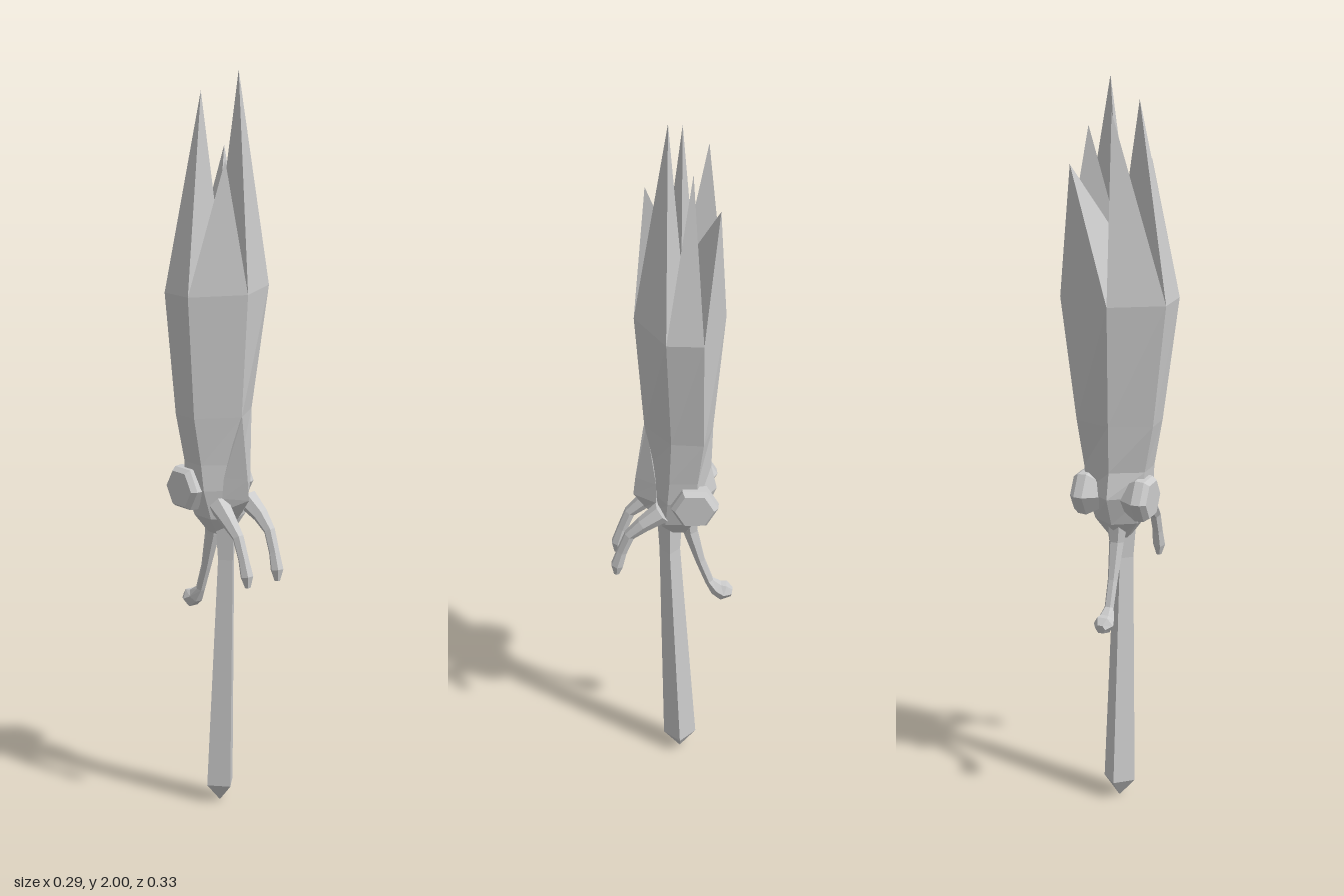
import * as THREE from 'three';

const material = new THREE.MeshStandardMaterial({ color: 0xcccccc, flatShading: true, side: THREE.DoubleSide });

function meshFrom(name, triangles) {
  const geometry = new THREE.BufferGeometry();
  geometry.setAttribute('position', new THREE.Float32BufferAttribute(triangles.flat(2), 3));
  geometry.computeVertexNormals();
  const mesh = new THREE.Mesh(geometry, material);
  mesh.name = name;
  return mesh;
}

// Skin a list of rings, ordered start to end, each running counter-clockwise about the path
function loft(rings, capStart = true, capEnd = true) {
  const triangles = [], n = rings[0].length;
  const centre = ring => [0, 1, 2].map(k => ring.reduce((s, p) => s + p[k], 0) / n);
  for (let i = 0; i < n; i++) {
    const j = (i + 1) % n;
    for (let r = 0; r + 1 < rings.length; r++) {
      const a = rings[r], b = rings[r + 1];
      triangles.push([a[i], a[j], b[j]], [a[i], b[j], b[i]]);
    }
    const first = rings[0], last = rings[rings.length - 1];
    if (capStart) triangles.push([first[j], first[i], centre(first)]);
    if (capEnd) triangles.push([last[i], last[j], centre(last)]);
  }
  return triangles;
}

// Tapered limb through [x, y, z, radius] stations
function limb(name, stations, sides) {
  const p = stations.map(s => new THREE.Vector3(s[0], s[1], s[2]));
  const xAxis = new THREE.Vector3(1, 0, 0);
  const rings = stations.map((s, i) => {
    const t = p[Math.min(i + 1, p.length - 1)].clone().sub(p[Math.max(i - 1, 0)]).normalize();
    const v = t.clone().cross(xAxis).normalize(), u = v.clone().cross(t);
    return Array.from({ length: sides }, (_, k) => {
      const a = k / sides * Math.PI * 2;
      return p[i].clone().addScaledVector(u, Math.cos(a) * s[3])
        .addScaledVector(v, Math.sin(a) * s[3]).toArray();
    });
  });
  return meshFrom(name, loft(rings));
}

const level = (y, xz) => xz.map(([x, z]) => [x, y, z]);

export function createModel() {
  const model = new THREE.Group();

  // Six-sided bud, from the pinched base up to the rim
  const rim = level(1.43, [[-0.145, -0.065], [-0.145, 0.032], [0, 0.1], [0.14, 0.018], [0.145, -0.078], [-0.01, -0.138]]);
  model.add(meshFrom('body', loft([
    level(0.77, [[-0.025, -0.035], [-0.025, 0.005], [0, 0.03], [0.025, 0.005], [0.025, -0.035], [0, -0.045]]),
    level(0.82, [[-0.06, -0.05], [-0.06, 0.02], [0, 0.055], [0.06, 0.02], [0.06, -0.05], [0, -0.085]]),
    level(0.9, [[-0.08, -0.065], [-0.08, 0.015], [0, 0.07], [0.08, 0.015], [0.08, -0.065], [0, -0.118]]),
    level(0.97, [[-0.085, -0.06], [-0.085, 0.01], [0, 0.068], [0.085, 0.01], [0.085, -0.065], [0, -0.103]]),
    level(1.1, [[-0.11, -0.065], [-0.108, 0.01], [0, 0.075], [0.092, 0.005], [0.1, -0.08], [0, -0.107]]),
    rim,
  ], true, false)));

  // One pointed petal per rim edge, with inner faces meeting at a hollow centre
  const hollow = [0, 1.58, -0.022];
  const tips = [[-0.055, 1.95, -0.025], [-0.052, 1.78, 0.07], [0.04, 2, 0.012],
    [0.075, 1.88, -0.05], [0.098, 1.79, -0.118], [-0.005, 1.925, -0.09]];
  const petals = new THREE.Group();
  petals.name = 'petals';
  tips.forEach((tip, i) => {
    const a = rim[i], b = rim[(i + 1) % 6];
    petals.add(meshFrom('petal', [[a, b, tip], [tip, b, hollow], [a, tip, hollow]]));
  });
  model.add(petals);

  // Wedge-shaped snout on the front
  const wedge = (y, w, front, back) => level(y, [[-w, back], [0, front], [w, back], [0, back - 0.02]]);
  model.add(meshFrom('snout', loft([
    wedge(0.79, 0.02, 0.035, 0.01),
    wedge(0.84, 0.048, 0.075, 0.035),
    wedge(0.88, 0.042, 0.106, 0.045),
    wedge(0.935, 0.036, 0.1, 0.045),
    wedge(1.1, 0.003, 0.077, 0.07),
  ])));

  // Pair of hooked front claws
  for (const side of [-1, 1]) {
    const x = d => 0.008 + side * d;
    model.add(limb(side > 0 ? 'leftClaw' : 'rightClaw', [
      [x(0.048), 0.86, 0.03, 0.03], [x(0.054), 0.825, 0.08, 0.022],
      [x(0.054), 0.79, 0.117, 0.016], [x(0.053), 0.735, 0.138, 0.015],
      [x(0.052), 0.69, 0.151, 0.018], [x(0.051), 0.66, 0.153, 0.008],
    ], 6));
  }

  // Bevelled hexagonal knobs on the sides
  const profile = [[0, 0.03], [0.04, 0.03], [0.065, 0.07], [0.063, 0.094], [0.052, 0.108], [0, 0.108]]
    .map(([r, h]) => new THREE.Vector2(r, h));
  for (const side of [-1, 1]) {
    const knob = new THREE.Mesh(new THREE.LatheGeometry(profile, 6), material);
    knob.name = side > 0 ? 'leftKnob' : 'rightKnob';
    knob.rotation.z = -side * Math.PI / 2;
    knob.position.set(0, 0.897, -0.057);
    model.add(knob);
  }

  // Rear tendril ending in a small bulb
  model.add(limb('tendril', [
    [0, 0.84, -0.04, 0.035], [0, 0.76, -0.048, 0.021], [0, 0.66, -0.075, 0.014],
    [0, 0.59, -0.1, 0.013], [0, 0.565, -0.12, 0.022], [0, 0.555, -0.14, 0.028], [0, 0.55, -0.162, 0.014],
  ], 6));

  // Four-sided handle, thicker towards its pointed foot
  model.add(limb('handle', [
    [0.003, 0, -0.02, 0.002], [0.003, 0.05, -0.02, 0.045],
    [0.002, 0.7, 0.008, 0.028], [0, 0.8, 0.008, 0.034],
  ], 4));

  return model;
}
